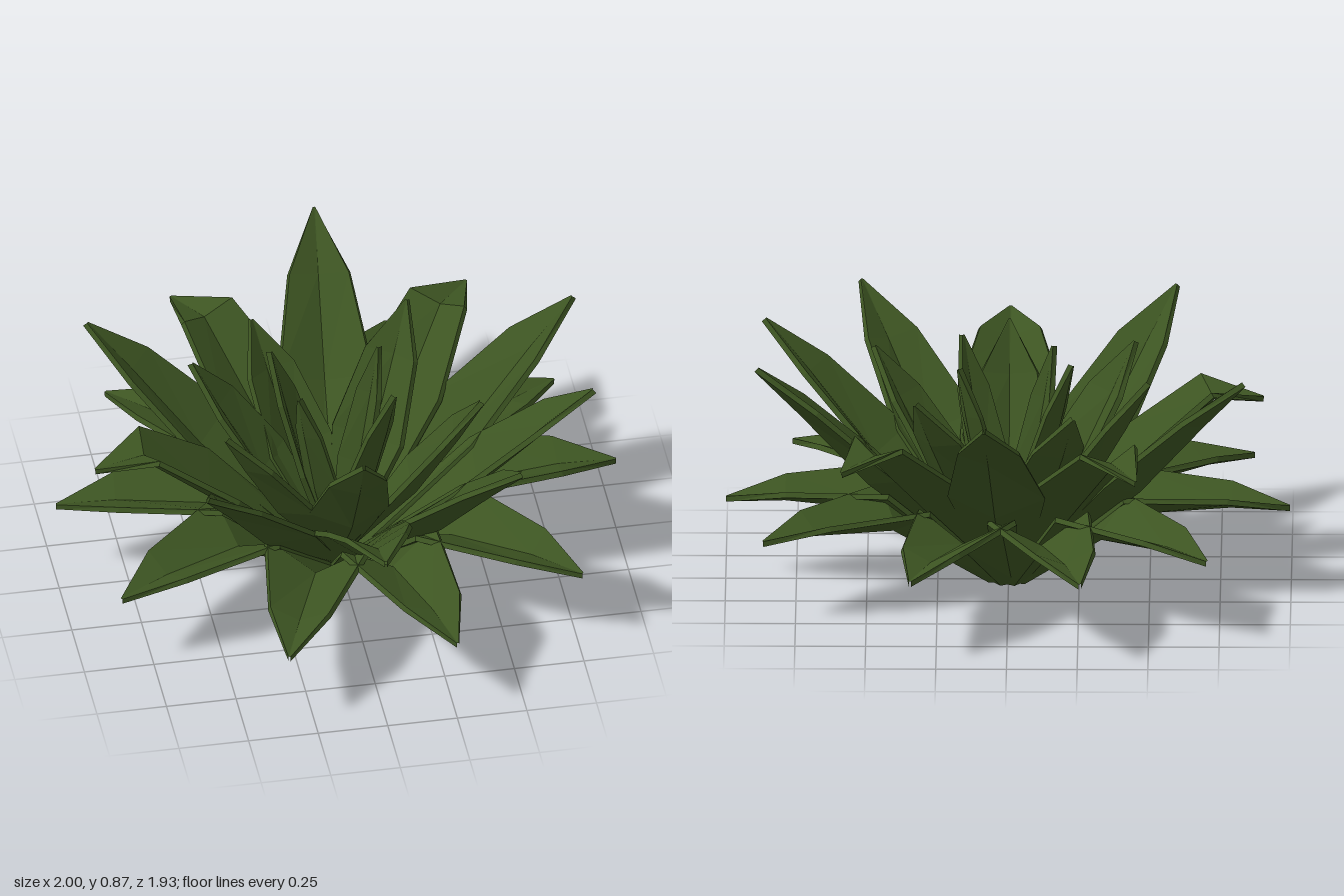
import * as THREE from 'three';

const T = 0.02; // leaf thickness

// One folded leaf growing along +x. Rows: [radius, height, half width, edge lift]; the last row is the tip.
function leafGeometry(rows) {
  const pos = [];
  const tri = (a, b, c) => pos.push(...a, ...b, ...c);
  const quad = (a, b, c, d) => { tri(a, b, c); tri(a, c, d); };
  const sections = rows.map(([r, y, w, lift], i) => {
    const p = rows[Math.max(i - 1, 0)], q = rows[Math.min(i + 1, rows.length - 1)];
    const len = Math.hypot(q[0] - p[0], q[1] - p[1]);
    const nx = -(q[1] - p[1]) / len, ny = (q[0] - p[0]) / len;
    const at = (h, z) => [r + nx * h, y + ny * h, z];
    // the underside is set off square to each slanted half
    const fold = Math.atan2(lift, w), out = w + T * Math.sin(fold), down = lift - T * Math.cos(fold);
    return {
      top: [at(lift, -w), at(0, 0), at(lift, w)],
      low: [at(down, -out), at(-T, 0), at(down, out)],
    };
  });
  for (let i = 0; i < sections.length - 1; i++) {
    const a = sections[i], b = sections[i + 1];
    for (let k = 0; k < 2; k++) {
      quad(a.top[k], a.top[k + 1], b.top[k + 1], b.top[k]);
      quad(a.low[k], b.low[k], b.low[k + 1], a.low[k + 1]);
    }
    // thin rims
    quad(a.top[0], b.top[0], b.low[0], a.low[0]);
    quad(a.top[2], a.low[2], b.low[2], b.top[2]);
  }
  // base cap
  const s = sections[0];
  for (let k = 0; k < 2; k++) quad(s.top[k], s.low[k], s.low[k + 1], s.top[k + 1]);
  const g = new THREE.BufferGeometry();
  g.setAttribute('position', new THREE.Float32BufferAttribute(pos, 3));
  g.computeVertexNormals(); // unshared corners give flat facets
  return g;
}

// Upright inner leaf reaching a given tip radius and height
const innerRows = (r, y, w) => [
  [0, 0.03, 0.03, 0.01],
  [r * 0.52, y * 0.45, w, w * 0.5],
  [r * 0.82, y * 0.78, w * 0.72, w * 0.28],
  [r, y, 0.004, 0],
];

const BASE = [0.04, 0.025, 0.05, 0.015];
const OUTER = [[0.07, 0.02, 0.055, 0.02], [0.46, 0.28, 0.18, 0.105], [0.79, 0.315, 0.105, 0.045], [1, 0.31, 0.004, 0]];
const TALL = [BASE, [0.5, 0.415, 0.165, 0.08], [0.75, 0.695, 0.105, 0.04], [0.915, 0.87, 0.004, 0]];
const LOW = [BASE, [0.42, 0.35, 0.165, 0.09], [0.67, 0.555, 0.145, 0.065], [0.8, 0.64, 0.105, 0.05], [0.96, 0.7, 0.004, 0]];
const BENT = [BASE, [0.48, 0.425, 0.165, 0.08], [0.73, 0.65, 0.11, 0.05], [0.915, 0.635, 0.004, 0]];

export function createModel() {
  const green = new THREE.MeshStandardMaterial({ color: 0x3d5522 });
  green.name = 'leafGreen';
  const model = new THREE.Group();
  model.name = 'rosettePlant';

  // Angles run from +x towards +z, in degrees
  function ring(name, rows, angles) {
    const group = new THREE.Group();
    group.name = name;
    const geometry = leafGeometry(rows);
    for (const a of angles) {
      const leaf = new THREE.Mesh(geometry, green);
      leaf.name = 'leaf';
      leaf.rotation.y = -THREE.MathUtils.degToRad(a);
      group.add(leaf);
    }
    model.add(group);
  }

  // Spreading bottom leaves
  ring('outerLeaves', OUTER, [0, 40, 75, 110, 150, 185, 225, 255, 290, 330]);
  // Middle ring: straight, lowered and bent-over leaves
  ring('tallLeaves', TALL, [20, 55, 130, 205, 275, 345]);
  ring('loweredLeaf', LOW, [90]);
  ring('bentLeaves', BENT, [170, 240, 310]);
  // Steeper inner leaves
  ring('innerLeaves', innerRows(0.52, 0.8, 0.135), [25, 90, 148, 200, 308]);
  ring('innerBackLeaf', innerRows(0.5, 0.76, 0.13), [243]);
  // Upright heart leaves
  ring('heartLeaves', innerRows(0.25, 0.85, 0.085), [50, 211]);
  ring('smallHeartLeaves', innerRows(0.2, 0.83, 0.07), [140, 325]);
  return model;
}
